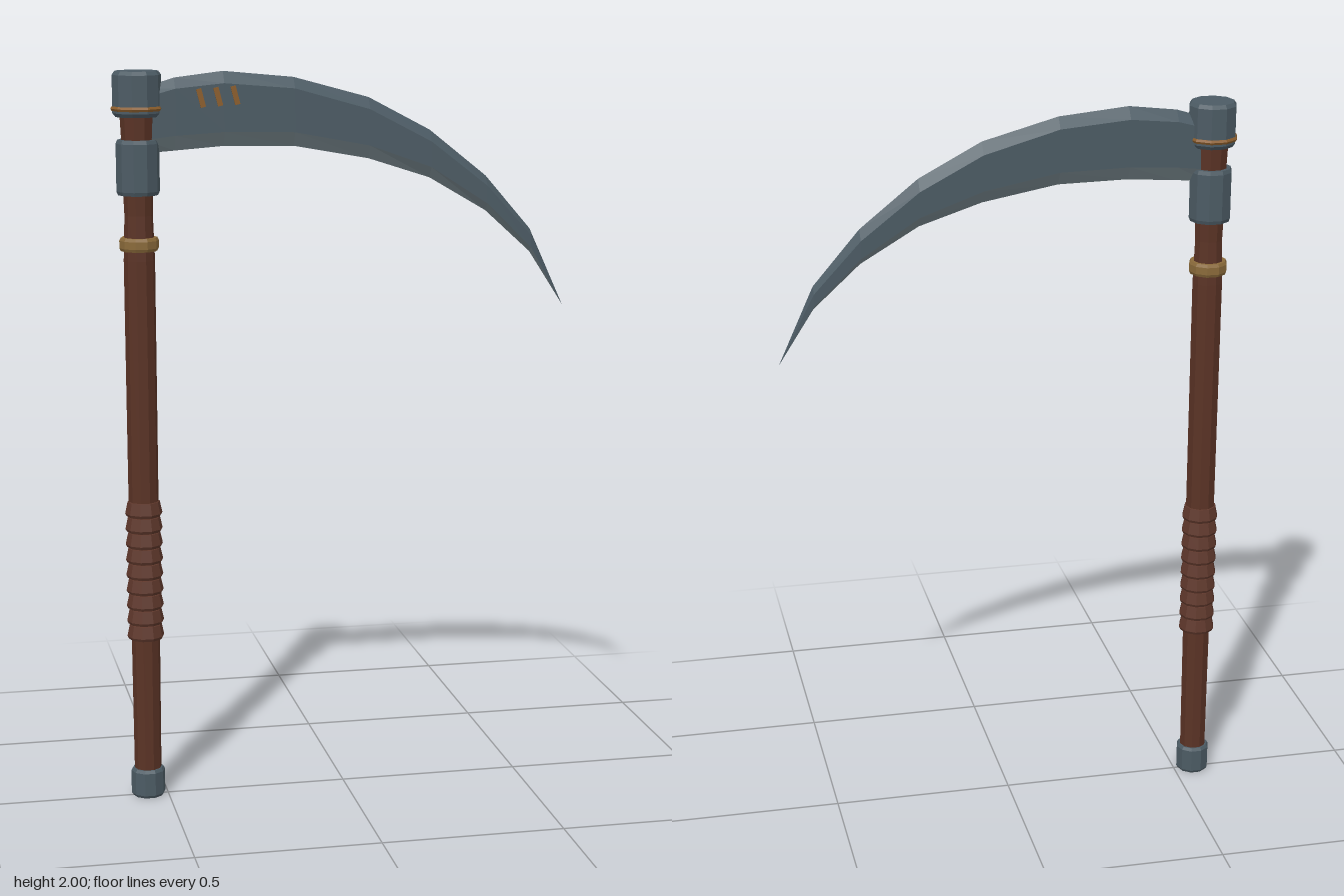
import * as THREE from 'three';

const SIDES = 10;
const POLE_X = -0.555;

function material(name, color) {
  const m = new THREE.MeshStandardMaterial({ color, flatShading: true });
  m.name = name;
  return m;
}

export function createModel() {
  const steel = material('darkSteel', 0x4c5b64);
  const edgeSteel = material('sharpenedSteel', 0x75848a);
  const wood = material('wood', 0x5a3325);
  const leather = material('leather', 0x5e372b);
  const brass = material('brass', 0x8a6a3a);
  const copper = material('copper', 0x8c5e2c);

  const model = new THREE.Group();
  model.name = 'scythe';

  const add = (name, geometry, mat, x = POLE_X, y = 0, z = 0) => {
    const mesh = new THREE.Mesh(geometry, mat);
    mesh.name = name;
    mesh.position.set(x, y, z);
    model.add(mesh);
    return mesh;
  };

  // Faceted turned part from [radius, height] pairs, bottom to top
  const turned = (name, profile, mat) => add(name, new THREE.LatheGeometry(
    profile.map(([r, y]) => new THREE.Vector2(r, y)), SIDES, Math.PI / 2), mat);

  // Pole
  turned('pole', [[0, 0.03], [0.037, 0.03], [0.039, 0.45], [0.041, 0.85], [0.042, 1.5],
    [0.038, 1.62], [0.041, 1.7], [0.043, 1.82], [0.047, 1.9], [0, 1.9]], wood);
  turned('buttCap', [[0, 0], [0.042, 0], [0.047, 0.008], [0.047, 0.072], [0.042, 0.08], [0, 0.08]], steel);

  // Wrapped grip
  const wraps = 9, pitch = 0.0433;
  for (let i = 0; i < wraps; i++) {
    const y = 0.453 + i * pitch;
    turned('gripWrap', [[0.036, y], [0.047, y], [0.051, y + 0.008], [0.044, y + 0.04], [0.036, y + 0.042]], leather);
  }

  // Metal fittings at the head
  turned('poleBand', [[0.036, 1.525], [0.049, 1.525], [0.053, 1.533], [0.053, 1.553], [0.049, 1.561], [0.036, 1.561]], brass);
  turned('bladeCollar', [[0.036, 1.674], [0.054, 1.674], [0.058, 1.684], [0.058, 1.81], [0.054, 1.82], [0.036, 1.82]], steel);
  turned('headCap', [[0, 1.88], [0.057, 1.88], [0.065, 1.89], [0.065, 1.99], [0.058, 2], [0, 2]], steel);
  add('headRing', new THREE.TorusGeometry(0.063, 0.007, 6, SIDES).rotateX(Math.PI / 2), copper, POLE_X, 1.902);

  // Blade stations: x, spine, upper shoulder, lower shoulder, cutting edge, half thickness
  const stations = [
    [-0.54, 1.955, 1.93, 1.82, 1.783, 0.025],
    [-0.456, 1.981, 1.953, 1.83, 1.789, 0.025],
    [-0.325, 1.997, 1.966, 1.838, 1.799, 0.025],
    [-0.135, 1.979, 1.95, 1.834, 1.796, 0.025],
    [0.07, 1.923, 1.892, 1.795, 1.759, 0.025],
    [0.24, 1.833, 1.803, 1.734, 1.704, 0.025],
    [0.398, 1.706, 1.68, 1.632, 1.611, 0.024],
    [0.525, 1.558, 1.541, 1.508, 1.495, 0.019],
    [0.622, 1.344, 1.344, 1.344, 1.344, 0],
  ];
  const sections = stations.map(([x, spine, upper, lower, edge, w]) => [
    [x, spine, 0], [x, upper, w], [x, lower, w], [x, edge, 0], [x, lower, -w], [x, upper, -w],
  ]);

  // Joins chosen sides of neighbouring cross-sections
  const bladeStrips = (sides) => {
    const pos = [];
    for (let i = 0; i < sections.length - 1; i++) {
      for (const s of sides) {
        const t = (s + 1) % 6;
        const a = sections[i][s], b = sections[i][t];
        const c = sections[i + 1][t], d = sections[i + 1][s];
        pos.push(...a, ...b, ...c);
        if (i < sections.length - 2) pos.push(...a, ...c, ...d);
      }
    }
    const g = new THREE.BufferGeometry();
    g.setAttribute('position', new THREE.Float32BufferAttribute(pos, 3));
    g.computeVertexNormals();
    return g;
  };
  add('bladeBody', bladeStrips([0, 1, 4, 5]), steel, 0);
  add('bladeEdge', bladeStrips([2, 3]), edgeSteel, 0);

  // Inlaid slashes on the front of the blade
  for (let i = 0; i < 3; i++) {
    const slash = add('bladeSlash', new THREE.BoxGeometry(0.014, 0.05, 0.006), copper,
      -0.388 + i * 0.046, 1.928 + i * 0.003, 0.0255);
    slash.rotation.z = 0.25;
  }

  return model;
}
